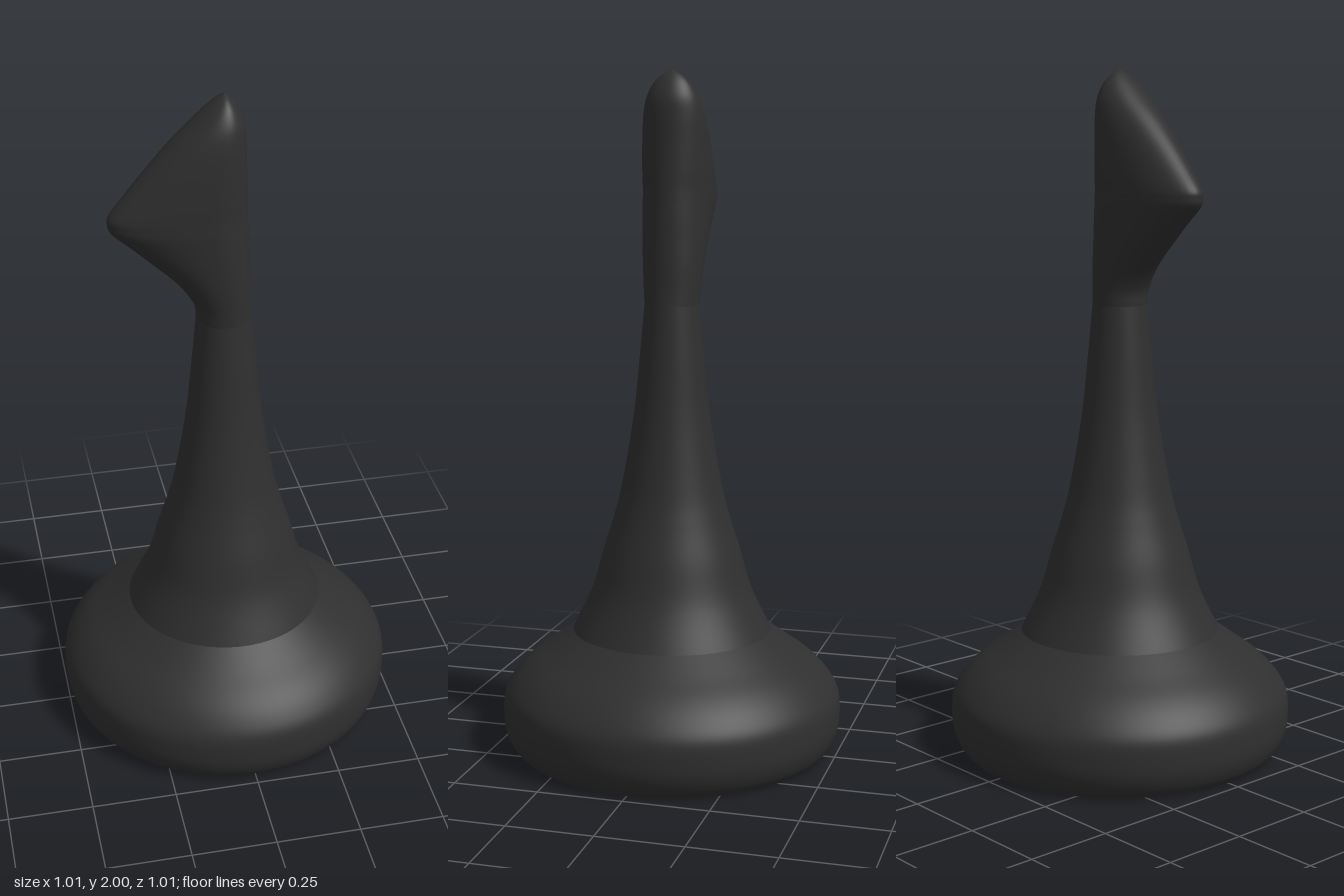
import * as THREE from 'three';

const black = new THREE.MeshStandardMaterial({ color: 0x2f2f2f });
black.name = 'matte black';

function part(name, geometry) {
  const mesh = new THREE.Mesh(geometry, black);
  mesh.name = name;
  return mesh;
}

// Smooth turned shape from [radius, y] points, bottom to top
function turned(points, steps) {
  const curve = new THREE.SplineCurve(points.map(([r, y]) => new THREE.Vector2(r, y)));
  return new THREE.LatheGeometry(curve.getPoints(steps), 72);
}

// Stack of egg-shaped rings from [y, xMin, xMax, halfDepth] sections
function headGeometry(sections, rows = 72, sides = 56) {
  const low = new THREE.CatmullRomCurve3(
    sections.map(([y, a, , d]) => new THREE.Vector3(a, y, d)), false, 'catmullrom');
  const high = new THREE.CatmullRomCurve3(
    sections.map(([y, , b, d]) => new THREE.Vector3(b, y, d)), false, 'catmullrom');
  const pos = [], index = [];
  for (let i = 0; i <= rows; i++) {
    const a = low.getPoint(i / rows), b = high.getPoint(i / rows);
    const mid = (a.x + b.x) * 0.2; // widest point sits near the neck axis
    for (let j = 0; j < sides; j++) {
      const t = (j / sides) * Math.PI * 2, c = Math.cos(t);
      pos.push(mid + c * (c > 0 ? b.x - mid : mid - a.x), a.y, Math.sin(t) * a.z);
      if (i < rows) {
        const n = (j + 1) % sides, p = i * sides + j, q = i * sides + n;
        index.push(p, p + sides, q, q, p + sides, q + sides);
      }
    }
  }
  const g = new THREE.BufferGeometry();
  g.setAttribute('position', new THREE.Float32BufferAttribute(pos, 3));
  g.setIndex(index);
  g.computeVertexNormals();
  return g;
}

export function createModel() {
  const model = new THREE.Group();
  model.name = 'chessPiece';

  // Rounded foot and its flat underside
  model.add(part('base', turned([
    [0.46, 0], [0.483, 0.025], [0.5, 0.065], [0.505, 0.11], [0.5, 0.17],
    [0.47, 0.22], [0.425, 0.265], [0.36, 0.312], [0.295, 0.36],
  ], 40)));
  model.add(part('underside', new THREE.CircleGeometry(0.46, 72).rotateX(Math.PI / 2)));

  // Flared stem
  model.add(part('stem', turned([
    [0.295, 0.36], [0.238, 0.48], [0.203, 0.6], [0.172, 0.7], [0.147, 0.8],
    [0.113, 1.0], [0.092, 1.2], [0.08, 1.33],
  ], 40)));

  // Wedge-shaped head with the snout towards -x
  model.add(part('head', headGeometry([
    [1.33, -0.08, 0.08, 0.08], [1.38, -0.088, 0.077, 0.083],
    [1.45, -0.135, 0.075, 0.088], [1.52, -0.207, 0.072, 0.092],
    [1.58, -0.272, 0.07, 0.095], [1.62, -0.316, 0.068, 0.097],
    [1.645, -0.325, 0.067, 0.097], [1.67, -0.32, 0.066, 0.097],
    [1.72, -0.28, 0.065, 0.097], [1.8, -0.212, 0.062, 0.094],
    [1.87, -0.147, 0.06, 0.088], [1.92, -0.094, 0.055, 0.077],
    [1.96, -0.05, 0.038, 0.056], [1.985, -0.02, 0.019, 0.031],
    [2.0, 0.002, 0.002, 0.0],
  ])));

  return model;
}
